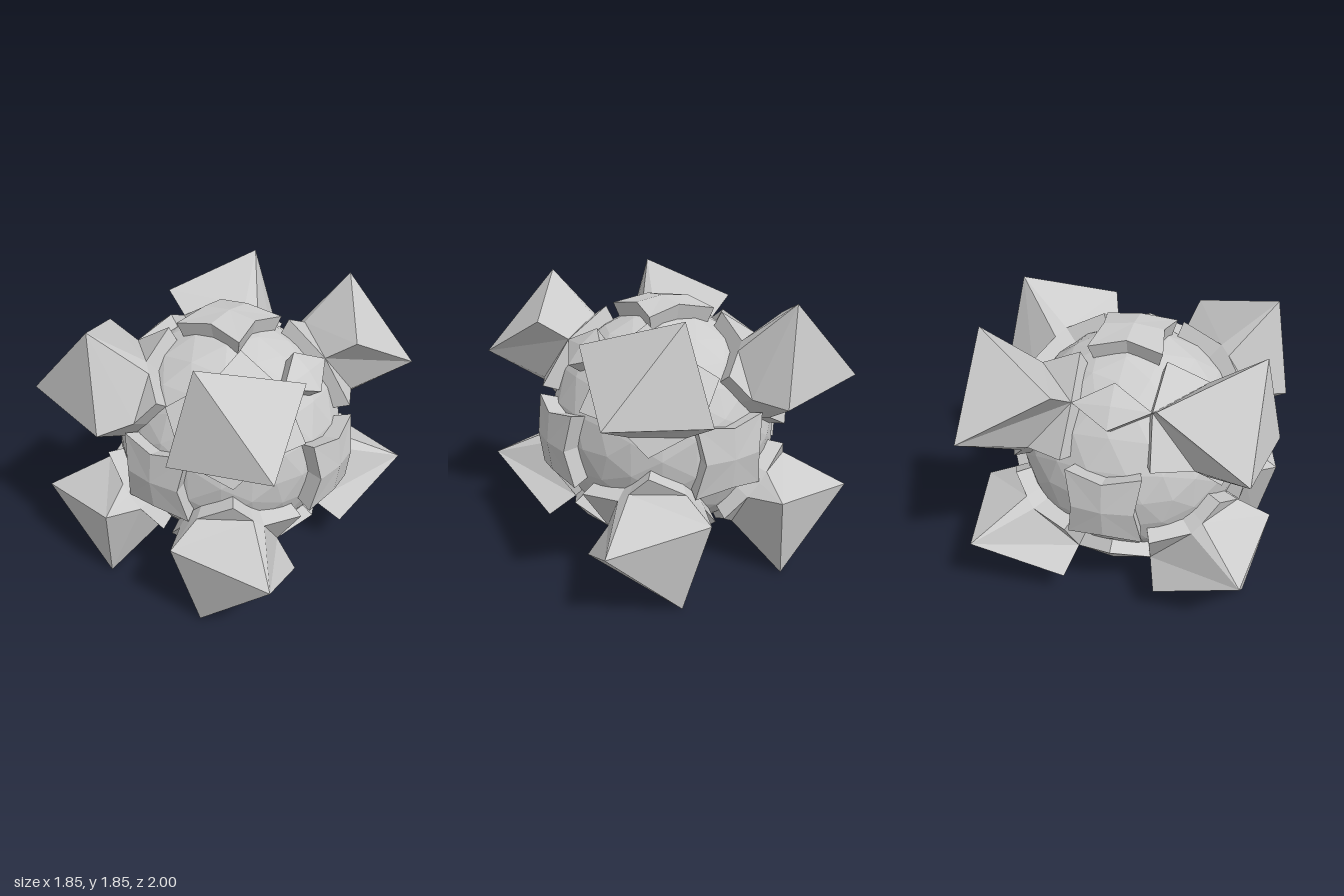
import * as THREE from 'three';

const V = (x, y, z) => new THREE.Vector3(x, y, z);
const SIGNS = [];
for (const x of [1, -1]) for (const y of [1, -1]) for (const z of [1, -1]) SIGNS.push(V(x, y, z));

const mid = (pts) => pts.reduce((s, p) => s.add(p), V(0, 0, 0)).divideScalar(pts.length);

// Adds a polygon as a fan, each triangle turned away from the inside point.
function addFace(out, pts, inside) {
  for (let i = 1; i < pts.length - 1; i++) {
    const [a, b, c] = [pts[0], pts[i], pts[i + 1]];
    const n = b.clone().sub(a).cross(c.clone().sub(a));
    const flip = n.dot(mid([a, b, c]).sub(inside)) < 0;
    for (const p of flip ? [a, c, b] : [a, b, c]) out.push(p.x, p.y, p.z);
  }
}

function makeMesh(name, out) {
  const geo = new THREE.BufferGeometry();
  geo.setAttribute('position', new THREE.Float32BufferAttribute(out, 3));
  geo.computeVertexNormals();
  const mesh = new THREE.Mesh(geo, new THREE.MeshStandardMaterial({ color: 0xcccccc, flatShading: true }));
  mesh.name = name;
  return mesh;
}

const key = (p) => [p.x, p.y, p.z].map((v) => Math.round(v * 1000) + 0 || 0).join();

// Mirrors one octant of a raised panel, then drops walls from its open borders.
function panels(name, octant) {
  const depth = 0.865;
  const out = [], edges = new Map(), seen = new Set();
  for (const s of SIGNS) for (const f of octant) {
    const pts = f.map((p) => p.clone().multiply(s));
    const id = pts.map(key).sort().join('|');
    if (seen.has(id)) continue;
    seen.add(id);
    addFace(out, pts, V(0, 0, 0));
    pts.forEach((p, i) => {
      const q = pts[(i + 1) % pts.length];
      const e = [key(p), key(q)].sort().join('|');
      if (edges.has(e)) edges.set(e, null);
      else edges.set(e, [p, q, mid(pts)]);
    });
  }
  for (const e of edges.values()) {
    if (!e) continue;
    const [p, q, c] = e;
    const wall = [p, q, q.clone().multiplyScalar(depth), p.clone().multiplyScalar(depth)];
    addFace(out, wall, c.clone().multiplyScalar((1 + depth) / 2));
  }
  return makeMesh(name, out);
}

export function createModel() {
  const group = new THREE.Group();
  const body = new THREE.Group();
  body.name = 'body';
  body.position.y = 0.925;
  group.add(body);

  // Inner ball, seen in the wide grooves
  const core = new THREE.Mesh(
    new THREE.IcosahedronGeometry(0.765, 3),
    new THREE.MeshStandardMaterial({ color: 0xcccccc, flatShading: true }));
  core.name = 'core';
  body.add(core);

  // Six small domed caps with pinched sides, one on each axis
  body.add(panels('topAndBottomCaps', [
    [V(0, 0.86, 0), V(0.2, 0.835, 0), V(0.245, 0.79, 0.24), V(0, 0.835, 0.2)]]));
  body.add(panels('sideCaps', [
    [V(0.875, 0, 0), V(0.85, 0.2, 0), V(0.805, 0.245, 0.24), V(0.85, 0, 0.2)]]));
  body.add(panels('frontAndBackCaps', [
    [V(0, 0, 0.855), V(0.2, 0, 0.83), V(0.245, 0.24, 0.785), V(0, 0.2, 0.83)]]));

  // Crystal foot: corners a to d, with extra points where the tips branch off
  const a = V(0.25, 0.64, 0.54), a1 = V(0.18, 0.6, 0.6);
  const b = V(0.65, 0.25, 0.53), b1 = V(0.605, 0.19, 0.59);
  const c = V(0.25, 0.25, 0.79), c1 = V(0.165, 0.335, 0.78), c2 = V(0.31, 0.19, 0.78);
  const d = V(0.58, 0.58, 0.25);

  // Rhombic panels between the top, bottom and sides
  const ridge = V(0.607, 0.607, 0);
  body.add(panels('rhombicPanels', [
    [ridge, V(0.7, 0.49, 0), d],
    [ridge, d, V(0.49, 0.7, 0)],
  ]));

  // Plates under the crystals, with four pointed tips
  const foot = [a, a1, c1, c, c2, b1, b, d];
  body.add(panels('footPlates', [
    ...foot.map((p, i) => [V(0.49, 0.49, 0.5), p, foot[(i + 1) % 8]]),
    [a1, V(0.035, 0.49, 0.71), c1],
    [c2, V(0.52, 0.07, 0.685), b1],
    [d, V(0.28, 0.765, 0.275), a],
    [b, V(0.77, 0.28, 0.28), d],
  ]));

  // Eight flared crystals, each with a folded four-cornered end
  const A = V(0.395, 0.925, 0.88), B = V(0.925, 0.395, 0.88);
  const C = V(0.27, 0.315, 1.0), D = V(0.765, 0.71, 0.31);
  const faces = [
    [A, C, B], [A, B, D],
    [A, C, c1, a1], [C, B, b1, c2], [B, D, d, b], [D, A, a, d],
    [A, a1, a], [C, c1, c], [C, c, c2], [B, b1, b],
  ];
  const center = mid([A, B, C, D, a, b, c, d]);
  SIGNS.forEach((s) => {
    const out = [];
    const m = (p) => p.clone().multiply(s);
    faces.forEach((f) => addFace(out, f.map(m), m(center)));
    body.add(makeMesh('crystal', out));
  });

  return group;
}
